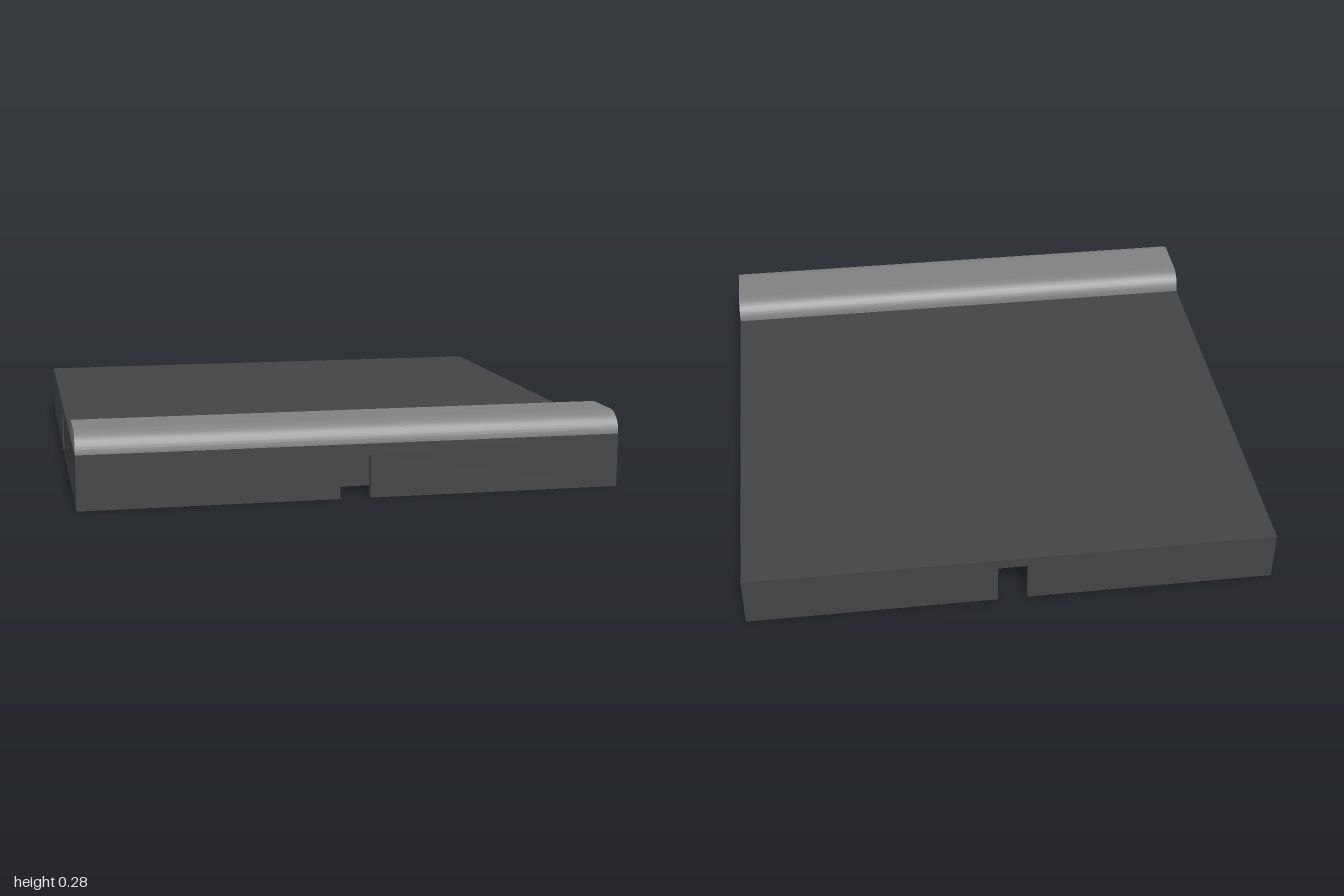
import * as THREE from 'three';
import { mergeGeometries, toCreasedNormals } from 'three/addons/utils/BufferGeometryUtils.js';

const SLAB = 0.2; // slab thickness
const NOTCH = 0.16; // notch height
const NECK = 0.056; // half width of the notch opening

// Dovetail notch in plan on the +z side, as (x, z)
const notch = [
  [-NECK, 1], [-NECK, 0.975], [-0.2, 0.81],
  [0.2, 0.81], [NECK, 0.975], [NECK, 1],
];

const shapeOf = (pts) => new THREE.Shape(pts.map(([x, y]) => new THREE.Vector2(x, y)));

// Flat face seen from below, from (x, z) points
function downFace(pts, y) {
  return new THREE.ShapeGeometry(shapeOf(pts)).rotateX(Math.PI / 2).translate(0, y, 0);
}

// Upright walls along the notch outline, facing into the notch
function notchWalls() {
  const pos = [];
  for (let i = 0; i < notch.length - 1; i++) {
    const [ax, az] = notch[i];
    const [bx, bz] = notch[i + 1];
    pos.push(ax, 0, az, bx, 0, bz, bx, NOTCH, bz);
    pos.push(ax, 0, az, bx, NOTCH, bz, ax, NOTCH, az);
  }
  const g = new THREE.BufferGeometry();
  g.setAttribute('position', new THREE.Float32BufferAttribute(pos, 3));
  return g;
}

function slabGeometry() {
  const parts = [new THREE.PlaneGeometry(2, 2).rotateX(-Math.PI / 2).translate(0, SLAB, 0)];
  const outline = [];
  const side = [
    [-1, 0], [-NECK, 0], [-NECK, NOTCH], [NECK, NOTCH],
    [NECK, 0], [1, 0], [1, SLAB], [-1, SLAB],
  ];
  for (let k = 0; k < 4; k++) {
    const angle = (k * Math.PI) / 2;
    // Outer side, notch ceiling and notch walls
    parts.push(
      new THREE.ShapeGeometry(shapeOf(side)).translate(0, 0, 1).rotateY(angle),
      downFace(notch, NOTCH).rotateY(angle),
      notchWalls().rotateY(angle),
    );
    // Quarter of the underside outline
    const c = Math.round(Math.cos(angle));
    const s = Math.round(Math.sin(angle));
    for (const [x, z] of [[-1, 1], ...notch]) outline.push([x * c + z * s, z * c - x * s]);
  }
  parts.push(downFace(outline, 0));

  const flat = parts.map((p) => {
    const g = p.index ? p.toNonIndexed() : p;
    g.deleteAttribute('uv');
    g.computeVertexNormals();
    return g;
  });
  return mergeGeometries(flat);
}

// Rail with two rounded top edges, extruded along x
function railGeometry() {
  const r = 0.08;
  const s = new THREE.Shape();
  s.moveTo(0.68, SLAB);
  s.lineTo(1, SLAB);
  s.absarc(1 - r, SLAB, r, 0, Math.PI / 2, false);
  s.absarc(0.68 + r, SLAB, r, Math.PI / 2, Math.PI, false);
  const g = new THREE.ExtrudeGeometry(s, { depth: 2, bevelEnabled: false, curveSegments: 12 });
  g.rotateY(-Math.PI / 2).translate(1, 0, 0);
  return toCreasedNormals(g, Math.PI / 6);
}

export function createModel() {
  const model = new THREE.Group();
  model.name = 'floorTile';
  const add = (name, geometry, color) => {
    const mesh = new THREE.Mesh(geometry, new THREE.MeshStandardMaterial({ color }));
    mesh.name = name;
    model.add(mesh);
  };
  add('notchedSlab', slabGeometry(), 0x444444);
  add('edgeRail', railGeometry(), 0x808080);
  return model;
}
